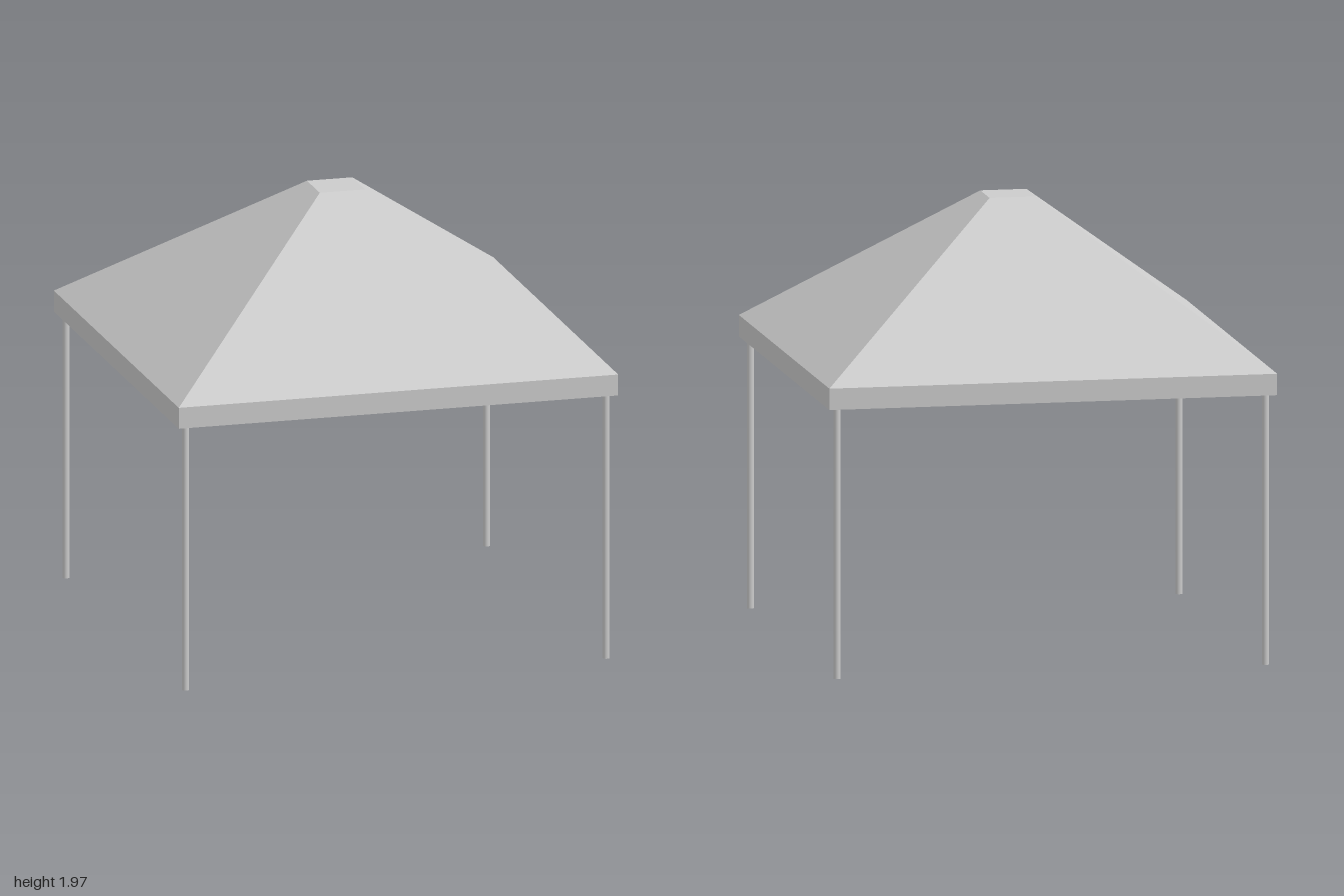
import * as THREE from 'three';

const EAVE = 1.295, RIM_BOTTOM = 1.2, PEAK = 1.965;
const HALF = 1, TOP_HALF = 0.103, RIM = 0.027;
const POLE_R = 0.016, POLE_AT = 0.957;

export function createModel() {
  const group = new THREE.Group();
  group.name = 'canopyTent';
  const frameMaterial = new THREE.MeshStandardMaterial({ color: 0xcccccc });
  const clothMaterial = new THREE.MeshStandardMaterial({
    color: 0xcccccc, flatShading: true, side: THREE.DoubleSide,
  });

  // Thin hipped roof with a small flat top, open underneath
  const profile = [[HALF, EAVE], [TOP_HALF, PEAK], [0, PEAK]]
    .map(([half, y]) => new THREE.Vector2(half * Math.SQRT2, y));
  const roof = new THREE.Mesh(new THREE.LatheGeometry(profile, 4, Math.PI / 4), clothMaterial);
  roof.name = 'roof';
  group.add(roof);

  // Square rim hanging from the eaves
  const square = (Path, h) => new Path([[-h, -h], [h, -h], [h, h], [-h, h]]
    .map(([x, y]) => new THREE.Vector2(x, y)));
  const outline = square(THREE.Shape, HALF);
  outline.holes.push(square(THREE.Path, HALF - RIM));
  const rimGeometry = new THREE.ExtrudeGeometry(outline, { depth: EAVE - RIM_BOTTOM, bevelEnabled: false });
  rimGeometry.rotateX(-Math.PI / 2).translate(0, RIM_BOTTOM, 0);
  const rim = new THREE.Mesh(rimGeometry, frameMaterial);
  rim.name = 'rim';
  group.add(rim);

  // Round poles tucked into the inner corners, reaching up to the eaves
  const poleGeometry = new THREE.CylinderGeometry(POLE_R, POLE_R, EAVE, 16);
  poleGeometry.translate(0, EAVE / 2, 0);
  for (const [sz, end] of [[1, 'front'], [-1, 'back']]) {
    for (const [sx, side] of [[1, 'Left'], [-1, 'Right']]) {
      const pole = new THREE.Mesh(poleGeometry, frameMaterial);
      pole.name = `${end}${side}Pole`;
      pole.position.set(sx * POLE_AT, 0, sz * POLE_AT);
      group.add(pole);
    }
  }
  return group;
}
